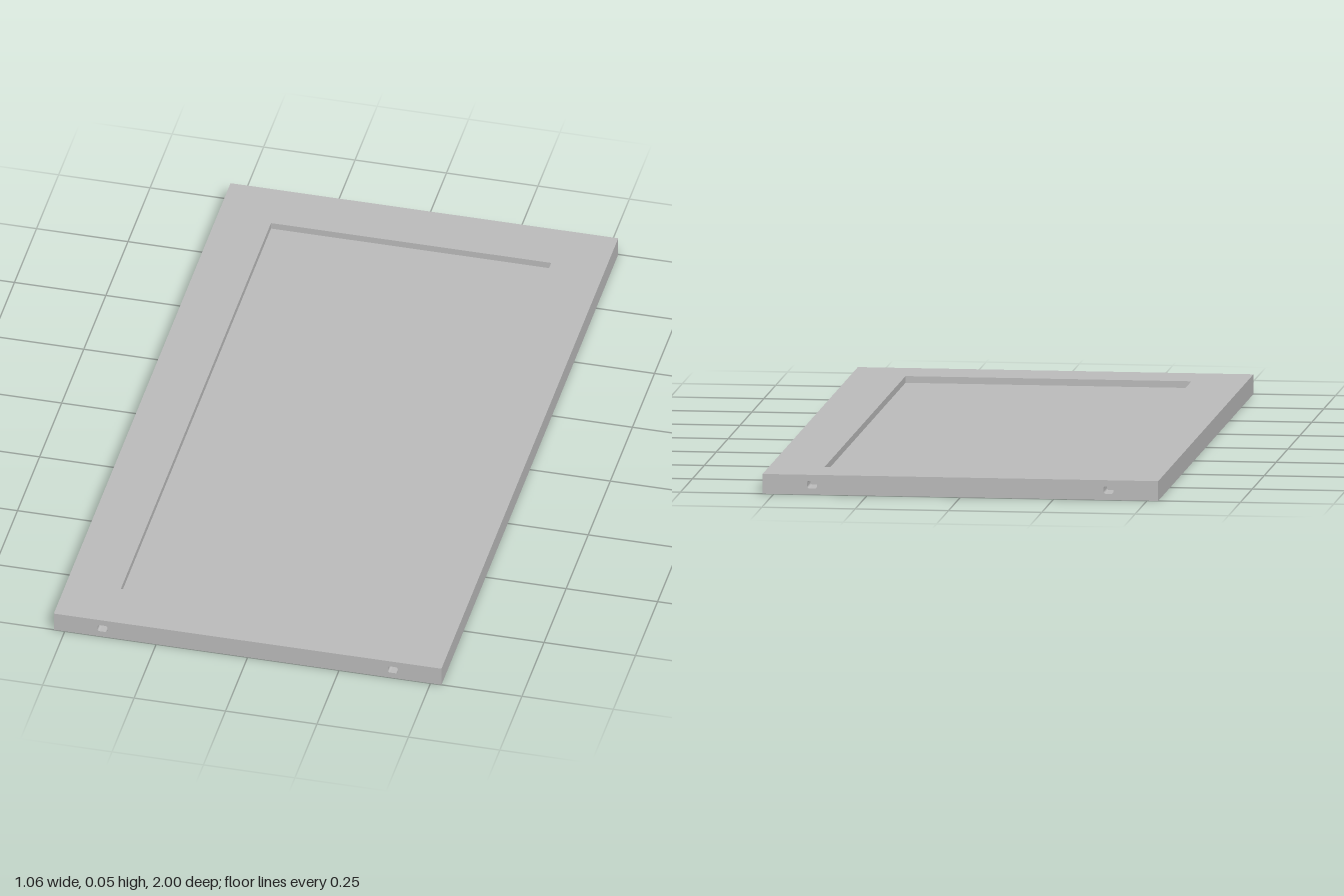
import * as THREE from 'three';

const W = 0.53, L = 1, T = 0.053;        // half width, half length, thickness
const IW = 0.383, IL = 0.85;             // half size of the opening
const HOLE_DEPTH = 0.07, HOLE_X = 0.397; // dowel holes in the short edges

function rect(target, x0, y0, x1, y1) {
  target.moveTo(x0, y0).lineTo(x1, y0).lineTo(x1, y1).lineTo(x0, y1).closePath();
  return target;
}

// Small slot outline with rounded corners
function slot(cx, cy, w, h, r) {
  const p = new THREE.Path(), x = cx - w / 2, y = cy - h / 2, q = Math.PI / 2;
  p.absarc(x + w - r, y + r, r, -q, 0);
  p.absarc(x + w - r, y + h - r, r, 0, q);
  p.absarc(x + r, y + h - r, r, q, 2 * q);
  p.absarc(x + r, y + r, r, 2 * q, 3 * q);
  p.closePath();
  return p;
}

export function createModel() {
  const group = new THREE.Group();
  const grey = new THREE.MeshStandardMaterial({ color: 0xbcbcbc });
  grey.name = 'plain grey';
  const add = (geometry, name) => {
    const mesh = new THREE.Mesh(geometry, grey);
    mesh.name = name;
    group.add(mesh);
    return mesh;
  };

  // Frame ring, lying flat
  const inner = L - HOLE_DEPTH;
  const ring = rect(new THREE.Shape(), -W, -inner, W, inner);
  ring.holes.push(rect(new THREE.Path(), -IW, -IL, IW, IL));
  const frame = new THREE.ExtrudeGeometry(ring, { depth: T, bevelEnabled: false });
  frame.rotateX(-Math.PI / 2);
  add(frame, 'frame');

  // End strips pierced by the dowel holes, which bottom out on the frame ring
  const end = rect(new THREE.Shape(), -W, 0, W, T);
  for (const s of [-1, 1]) end.holes.push(slot(s * HOLE_X, T / 2, 0.027, 0.02, 0.006));
  const endGeometry = new THREE.ExtrudeGeometry(end, { depth: HOLE_DEPTH, bevelEnabled: false, curveSegments: 5 });
  add(endGeometry, 'frontEnd').position.z = inner;
  add(endGeometry, 'backEnd').position.z = -L;

  // Thin panel recessed on both faces
  add(new THREE.BoxGeometry(2 * IW, 0.017, 2 * IL), 'panel').position.y = T / 2;

  return group;
}
